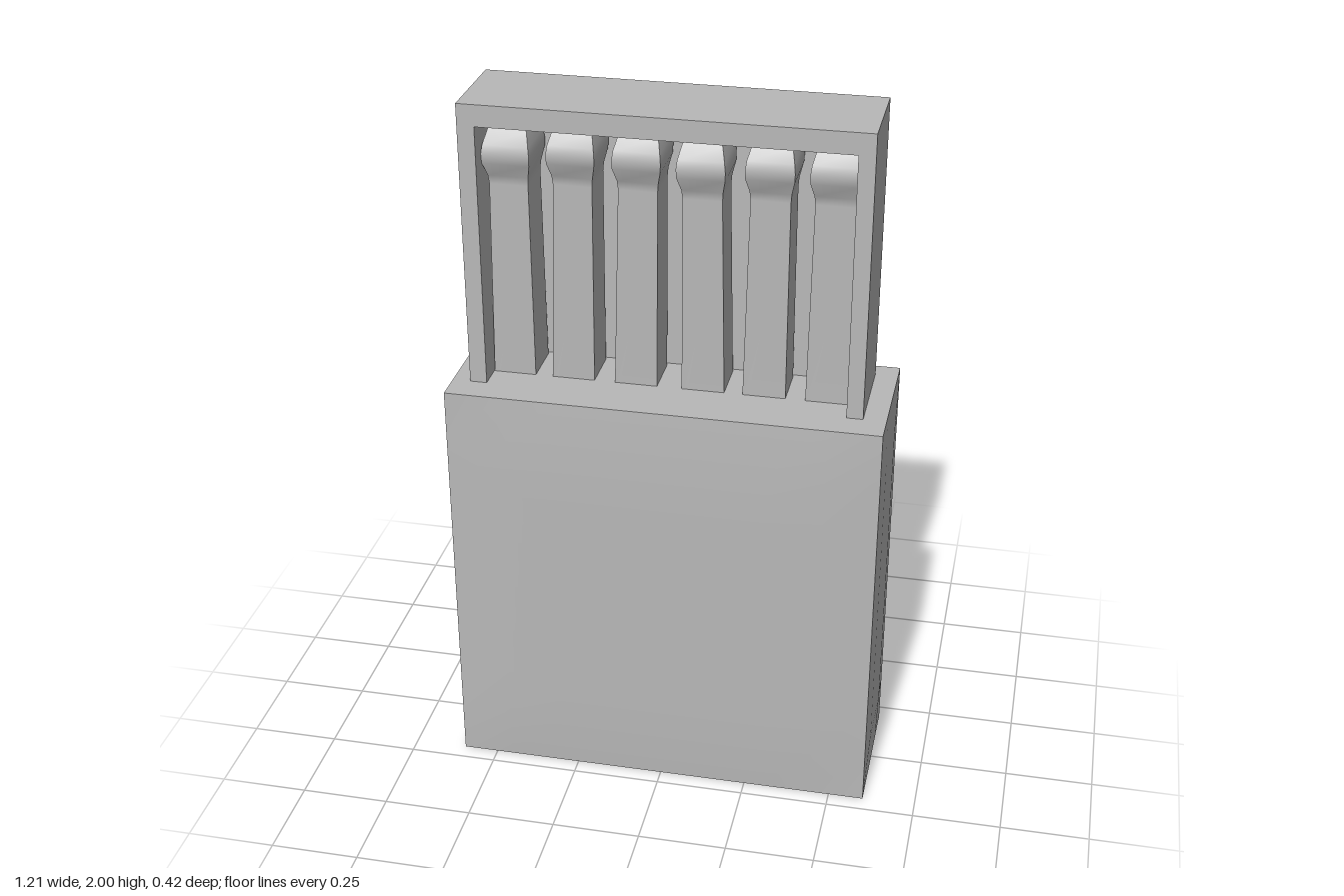
import * as THREE from 'three';

const card = new THREE.MeshStandardMaterial({ color: 0xb8b8b8 });
card.name = 'grey card';

function add(parent, name, geometry, x = 0, y = 0, z = 0) {
  const mesh = new THREE.Mesh(geometry, card);
  mesh.name = name;
  mesh.position.set(x, y, z);
  parent.add(mesh);
  return mesh;
}

// Outer sleeve: a box whose walls bulge very slightly between their edges
function sleeveGeometry() {
  const w = 0.6, h = 0.6, d = 0.203;
  const g = new THREE.BoxGeometry(2 * w, 2 * h, 2 * d, 8, 8, 4);
  const p = g.attributes.position;
  const swell = (t) => Math.min(1, (1 - Math.abs(t)) * 4);
  for (let i = 0; i < p.count; i++) {
    const x = p.getX(i), y = p.getY(i), z = p.getZ(i);
    if (Math.abs(z) > d - 1e-4) p.setZ(i, z + Math.sign(z) * 0.008 * swell(x / w) * swell(y / h));
    if (Math.abs(x) > w - 1e-4) p.setX(i, x + Math.sign(x) * 0.004 * swell(y / h) * swell(z / d));
  }
  g.computeVertexNormals();
  return g;
}

// Match: square stick with a narrow neck and a rounded, swollen head.
// Rows, bottom to top: height below the tip, half width, front z, back z
const ROWS = [
  [0.82, 0.060, 0.045, -0.09],
  [0.165, 0.053, 0.045, -0.08],
  [0.14, 0.055, 0.05, -0.08],
  [0.10, 0.064, 0.07, -0.09],
  [0.075, 0.065, 0.073, -0.09],
  [0.05, 0.062, 0.068, -0.088],
  [0.015, 0.053, 0.045, -0.075],
  [0, 0.047, 0.03, -0.06],
];

function matchGeometry() {
  const n = ROWS.length - 1;
  const g = new THREE.BoxGeometry(1, 1, 1, 1, n, 1);
  const p = g.attributes.position;
  for (let i = 0; i < p.count; i++) {
    const [drop, half, front, back] = ROWS[Math.round((p.getY(i) + 0.5) * n)];
    p.setXYZ(i, Math.sign(p.getX(i)) * half, -drop, p.getZ(i) > 0 ? front : back);
  }
  g.computeVertexNormals();
  return g;
}

export function createModel() {
  const model = new THREE.Group();
  model.name = 'matchbox';

  add(model, 'sleeve', sleeveGeometry(), 0, 0.6, 0);

  // Sliding tray: a rim around an open front, closed by a back panel
  const tray = new THREE.Group();
  tray.name = 'tray';
  model.add(tray);
  const L = -0.55, R = 0.537, T = 2, base = 1.12;
  const backZ = -0.155, floorZ = -0.1, frontZ = 0.12;
  const rim = new THREE.Shape([
    [L, base], [-0.503, base], [-0.503, 1.94], [0.492, 1.94],
    [0.492, base], [R, base], [R, T], [L, T],
  ].map(([x, y]) => new THREE.Vector2(x, y)));
  add(tray, 'trayRim',
    new THREE.ExtrudeGeometry(rim, { depth: frontZ - floorZ, bevelEnabled: false }), 0, 0, floorZ);
  add(tray, 'trayBack', new THREE.BoxGeometry(R - L, T - base, floorZ - backZ),
    (L + R) / 2, (T + base) / 2, (backZ + floorZ) / 2);

  // Row of matches: centre x, tip height and a small lean
  const matches = new THREE.Group();
  matches.name = 'matches';
  model.add(matches);
  const stick = matchGeometry();
  [
    [-0.438, 1.922, -0.006], [-0.262, 1.933, -0.018], [-0.086, 1.933, -0.018],
    [0.082, 1.922, 0.008], [0.264, 1.933, -0.01], [0.432, 1.934, -0.004],
  ].forEach(([x, y, lean]) => {
    add(matches, 'match', stick, x, y, 0).rotation.z = lean;
  });

  return model;
}
